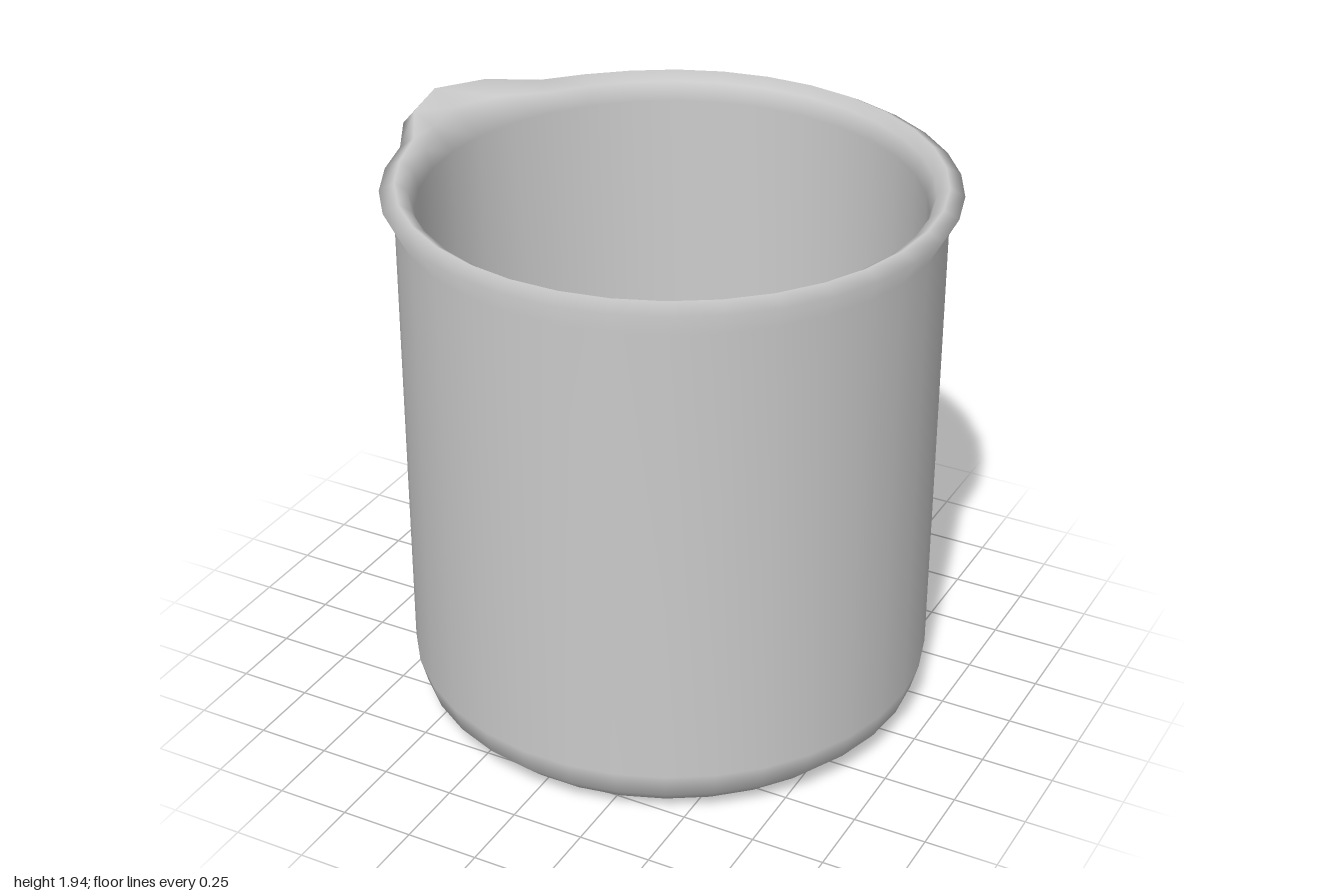
import * as THREE from 'three';
import { mergeVertices } from 'three/addons/utils/BufferGeometryUtils.js';

const SIDES = 34;
const SPOUT = 16; // ring column the spout points along

// Closed wall section: underside, outer wall, lip, inner wall, inner floor
const PROFILE = [
  [0, 0], [0.7, 0], [0.73, 0.003], [0.8, 0.022], [0.87, 0.09], [0.895, 0.18],
  [0.895, 1.8], [0.94, 1.885], [0.89, 1.912], [0.85, 1.885], [0.83, 1.82],
  [0.83, 0.2], [0.81, 0.125], [0.76, 0.08], [0.69, 0.065], [0, 0.065],
];

// Lip points pulled by the spout: profile index -> [outward, upward]
const PULL = { 7: [0.135, 0.004], 8: [0.14, 0.033], 9: [0.09, 0.015] };
// Falloff per column away from the spout's centre
const OUT = [1, 0.6, 0];
const UP = [1, 0.85, 0.35, 0.1];

function beakerGeometry() {
  const points = PROFILE.map(([r, y]) => new THREE.Vector2(r, y));
  const geo = new THREE.LatheGeometry(points, SIDES, Math.PI / 2);
  const pos = geo.attributes.position;

  // Draw the lip out into a pouring spout
  for (let i = 0; i <= SIDES; i++) {
    const d = Math.abs(i - SPOUT);
    for (const [j, [out, up]] of Object.entries(PULL)) {
      const k = i * PROFILE.length + Number(j);
      const r = PROFILE[j][0];
      const s = (r + out * (OUT[d] ?? 0)) / r;
      pos.setXYZ(k, pos.getX(k) * s, pos.getY(k) + up * (UP[d] ?? 0), pos.getZ(k) * s);
    }
  }

  // Weld the seam and smooth the whole surface
  geo.deleteAttribute('uv');
  geo.deleteAttribute('normal');
  const welded = mergeVertices(geo, 1e-4);
  welded.computeVertexNormals();
  return welded;
}

export function createModel() {
  const group = new THREE.Group();
  group.name = 'beaker';
  const body = new THREE.Mesh(
    beakerGeometry(),
    new THREE.MeshStandardMaterial({ color: 0xcccccc }),
  );
  body.name = 'beakerBodyWithSpout';
  body.position.x = 0.057; // the spout shifts the body off centre
  group.add(body);
  return group;
}
